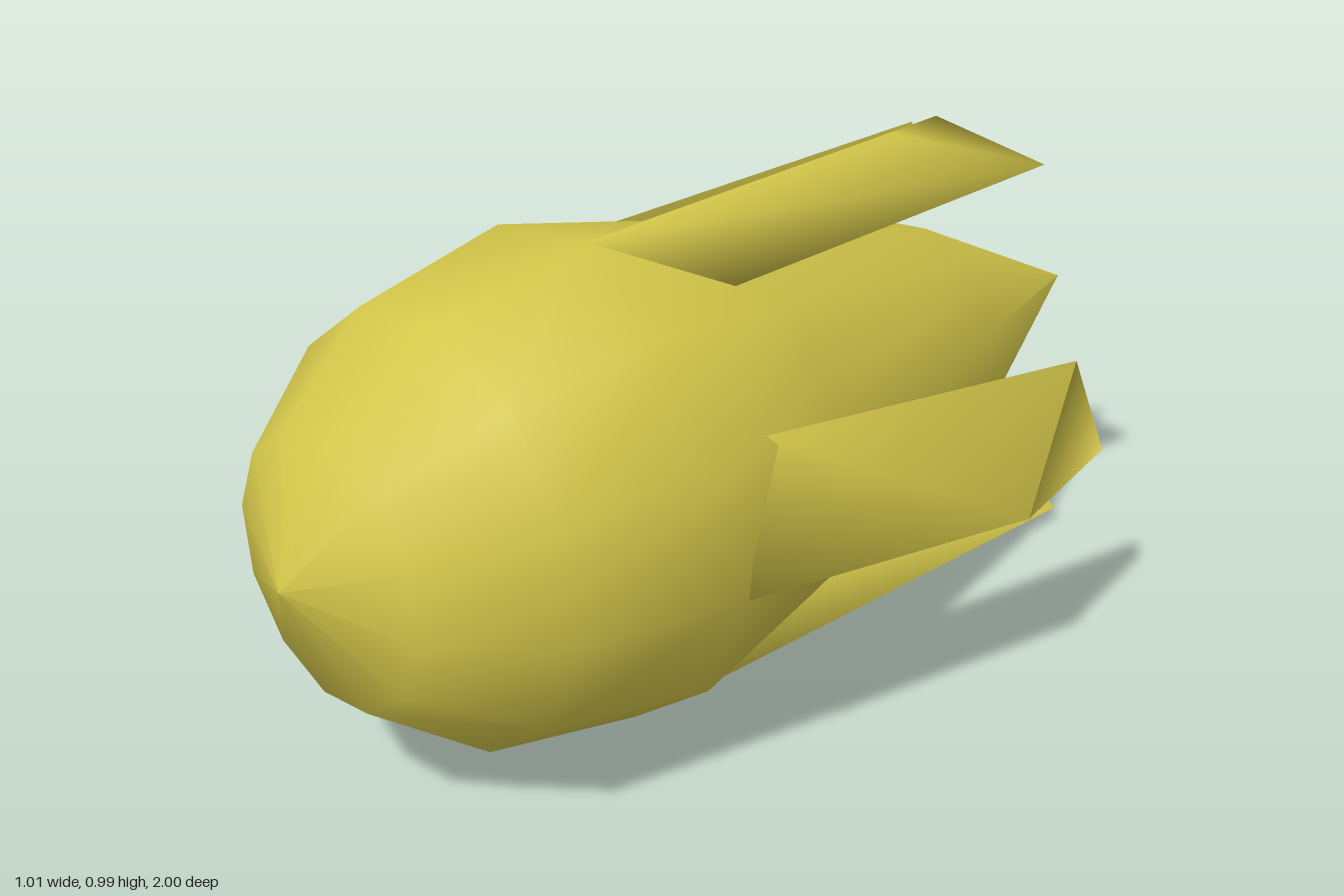
import * as THREE from 'three';

const yellow = new THREE.MeshStandardMaterial({ color: 0xd4c74a });
yellow.name = 'yellow';

// Twelve-sided drop: round nose at +z, pointed tail at -z
function makeBody() {
  const profile = [
    [0, -1], [0.247, -0.5], [0.388, 0.09], [0.457, 0.4],
    [0.394, 0.71], [0.242, 0.91], [0, 1],
  ].map(([r, z]) => new THREE.Vector2(r, z));
  const geo = new THREE.LatheGeometry(profile, 12, THREE.MathUtils.degToRad(21));
  geo.rotateX(Math.PI / 2);
  const body = new THREE.Mesh(geo, yellow);
  body.name = 'body';
  body.position.set(-0.05, 0.49, 0);
  return body;
}

// Three-sided spike: a triangle on the body swept backwards along one direction
function makeSpike(corners, sweep, name) {
  const d = new THREE.Vector3(...sweep);
  let base = corners.map((c) => new THREE.Vector3(...c));
  const normal = new THREE.Triangle(...base).getNormal(new THREE.Vector3());
  if (normal.dot(d) < 0) base = [base[0], base[2], base[1]];
  const tip = base.map((p) => p.clone().add(d));
  // Carry the roots a little forward so they sink into the body
  base.forEach((p, i) => { if (p.z < 0.39) base[i] = p.addScaledVector(d, -0.08 / Math.abs(d.z)); });

  const index = [3, 4, 5];
  for (let i = 0; i < 3; i++) {
    const j = (i + 1) % 3;
    index.push(i, j, j + 3, i, j + 3, i + 3);
  }
  const geo = new THREE.BufferGeometry().setFromPoints([...base, ...tip]);
  geo.setIndex(index);
  geo.computeVertexNormals();
  const mesh = new THREE.Mesh(geo, yellow);
  mesh.name = name;
  return mesh;
}

export function createModel() {
  const model = new THREE.Group();
  model.name = 'spikedDrop';
  model.add(makeBody());

  // Root triangle, sweep direction, name
  const spikes = [
    [[[0.02, 0.945, 0.4], [-0.13, 0.88, 0.09], [0.145, 0.842, 0.09]], [0.045, 0.045, -0.7], 'topSpike'],
    [[[0.405, 0.42, 0.4], [0.355, 0.66, 0.22], [0.335, 0.43, 0.09]], [0.1, -0.035, -0.61], 'leftSpike'],
    [[[-0.5, 0.56, 0.4], [-0.385, 0.77, 0.21], [-0.435, 0.55, 0.09]], [0.065, 0.05, -1.02], 'upperRightSpike'],
    [[[-0.345, 0.135, 0.4], [-0.45, 0.312, 0.2], [-0.29, 0.15, 0.1]], [-0.055, -0.002, -0.57], 'lowerRightSpike'],
    [[[-0.12, 0.035, 0.4], [0.13, 0.065, 0.2], [-0.11, 0.103, 0.1]], [-0.03, -0.032, -1.04], 'bottomSpike'],
  ];
  for (const [corners, sweep, name] of spikes) model.add(makeSpike(corners, sweep, name));
  return model;
}
